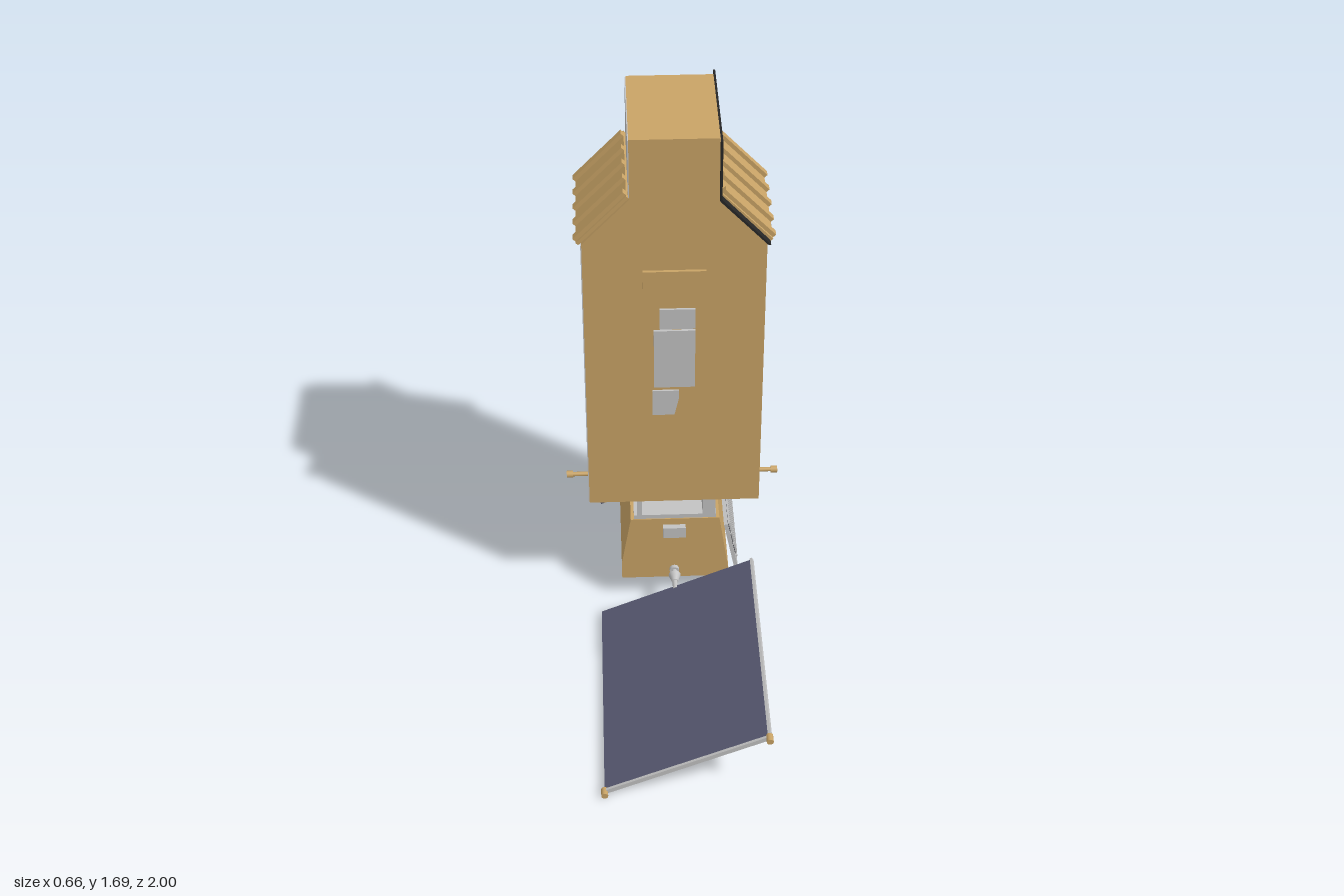
import * as THREE from 'three';

const mat = (name, color, side = THREE.FrontSide) => {
  const m = new THREE.MeshStandardMaterial({ color, side });
  m.name = name;
  return m;
};

export function createModel() {
  const root = new THREE.Group();
  root.name = 'satellite';
  const gold = mat('goldFoil', 0xc8a366);
  const silver = mat('silver', 0xc2c2c2);
  const black = mat('blackShade', 0x262626);
  const blue = mat('solarBlue', 0x565870);
  const dark = mat('darkGap', 0x55555a);

  const add = (name, geo, m, x = 0, y = 0, z = 0, parent = root) => {
    const mesh = new THREE.Mesh(geo, m);
    mesh.name = name;
    mesh.position.set(x, y, z);
    parent.add(mesh);
    return mesh;
  };
  // Box given by its minimum and maximum corners
  const box = (name, m, x0, x1, y0, y1, z0, z1, parent = root) =>
    add(name, new THREE.BoxGeometry(x1 - x0, y1 - y0, z1 - z0), m,
      (x0 + x1) / 2, (y0 + y1) / 2, (z0 + z1) / 2, parent);
  // Outline in x,y extruded between two z values
  const prism = (name, m, pts, z0, z1) => {
    const shape = new THREE.Shape(pts.map(p => new THREE.Vector2(p[0], p[1])));
    const geo = new THREE.ExtrudeGeometry(shape, { depth: z1 - z0, bevelEnabled: false });
    return add(name, geo, m, 0, 0, z0);
  };
  const rod = (name, m, r0, r1, len, axis, x, y, z, parent = root) => {
    const geo = new THREE.CylinderGeometry(r1, r0, len, 16);
    if (axis === 'x') geo.rotateZ(-Math.PI / 2);
    if (axis === 'z') geo.rotateX(Math.PI / 2);
    return add(name, geo, m, x, y, z, parent);
  };

  // Tall foil-wrapped body with shoulders and narrow top
  prism('body', gold, [[-0.26, 0.405], [0.26, 0.405], [0.26, 1.36], [0.125, 1.505],
    [0.125, 1.695], [-0.125, 1.695], [-0.125, 1.505], [-0.26, 1.36]], -0.175, 0.175);

  // Silver radiator faces on one side
  box('sideRadiator', silver, -0.263, -0.2595, 0.41, 1.355, -0.173, 0.173);
  box('topRadiator', silver, -0.128, -0.1245, 1.51, 1.692, -0.173, 0.173);

  // Black sun shade behind the top and shoulder
  prism('sunShade', black, [[0.124, 1.697], [0.124, 1.508], [0.26, 1.362],
    [0.268, 1.362], [0.13, 1.513], [0.13, 1.697]], -0.198, 0.198);

  // Ribbed shoulder covers
  const slopeLen = Math.hypot(0.142, 0.15);
  for (const s of [-1, 1]) {
    const g = new THREE.Group();
    g.name = s > 0 ? 'leftShoulderCover' : 'rightShoulderCover';
    g.position.set(s * 0.2, 1.437, 0);
    g.rotation.z = -s * Math.atan2(0.15, 0.142);
    root.add(g);
    box('coverSheet', gold, -slopeLen / 2, slopeLen / 2, -0.004, 0.006, -0.175, 0.175, g);
    for (let i = -2; i <= 2; i++) {
      const z = i * 0.078;
      box('coverRib', gold, -slopeLen / 2, slopeLen / 2, 0.006, 0.018, z - 0.011, z + 0.011, g);
    }
    for (const z of [-0.09, 0.09]) {
      box('coverClip', dark, s * 0.268 - 0.008, s * 0.268 + 0.008, 1.346, 1.362, z - 0.024, z + 0.024);
      box('clipPin', dark, s * 0.266 - 0.005, s * 0.266 + 0.005, 1.335, 1.35, z - 0.007, z + 0.007);
    }
  }

  // Matching plates on front and back
  for (const s of [-1, 1]) {
    const slab = (name, m, pts, d) => prism(name, m, pts, s > 0 ? 0.174 : -0.175 - d, s > 0 ? 0.175 + d : -0.174);
    const rect = (x0, x1, y0, y1) => [[x0, y0], [x1, y0], [x1, y1], [x0, y1]];
    slab('upperCover', gold, rect(-0.09, 0.09, 1.152, 1.268), 0.009);
    slab('upperPlate', silver, rect(-0.043, 0.06, 1.066, 1.135), 0.007);
    slab('mainPlate', silver, rect(-0.06, 0.06, 0.855, 1.06), 0.008);
    slab('lowerPlate', silver, [[-0.065, 0.75], [0, 0.75], [0.013, 0.81], [0.013, 0.84], [-0.065, 0.84]], 0.006);
  }

  // Tapered lower bus
  prism('bus', gold, [[-0.165, 0.085], [0.172, 0.085], [0.172, 0.11], [0.14, 0.33],
    [-0.135, 0.33], [-0.165, 0.15]], -0.175, 0.175);

  // Open silver frame joining the bus and body
  box('frameBase', silver, -0.125, 0.13, 0.33, 0.345, -0.172, 0.172);
  box('framePlate', silver, 0.088, 0.127, 0.34, 0.406, -0.174, 0.174);
  for (const z of [-0.16, 0.16]) box('framePost', silver, -0.115, -0.1, 0.34, 0.406, z - 0.012, z + 0.012);
  box('rodBracket', silver, -0.113, -0.102, 0.345, 0.395, -0.02, 0.02);

  // Antenna rod through the frame
  rod('antennaRod', gold, 0.007, 0.007, 0.64, 'x', 0, 0.372, 0);
  for (const s of [-1, 1]) rod('antennaTip', gold, 0.011, 0.011, 0.02, 'x', s * 0.322, 0.372, 0);

  // Louvred radiator leaning on the bus
  const louvre = new THREE.Group();
  louvre.name = 'louvreRadiator';
  louvre.position.set(0.182, 0.21, 0);
  louvre.rotation.z = 0.19;
  root.add(louvre);
  box('louvreFrame', silver, -0.01, 0.002, -0.092, 0.092, -0.175, 0.175, louvre);
  box('louvreBack', dark, 0.002, 0.004, -0.045, 0.09, -0.165, 0.165, louvre);
  for (let i = 0; i < 22; i++) {
    const z = -0.1575 + i * 0.015;
    box('louvreSlat', silver, 0.003, 0.009, -0.045, 0.09, z - 0.0045, z + 0.0045, louvre);
  }
  for (const y of [-0.05, 0.0, 0.045, 0.089])
    box('louvreRail', silver, 0.003, 0.008, y - 0.003, y + 0.003, -0.17, 0.17, louvre);

  // Pads under the bus
  box('bottomPad', silver, 0.03, 0.105, 0.077, 0.086, -0.15, -0.045);
  box('bottomPad', silver, -0.08, -0.02, 0.077, 0.086, 0.055, 0.15);

  // Solar wings with hinge, rails and corner tips
  for (const s of [-1, 1]) {
    box('sensorBox', silver, -0.035, 0.035, 0.266, 0.306, s * 0.183 - 0.01, s * 0.183 + 0.01);
    rod('wingAxle', silver, 0.008, 0.008, 0.1, 'z', 0, 0.12, s * 0.218);
    rod('hingeCollar', silver, s > 0 ? 0.019 : 0.01, s > 0 ? 0.01 : 0.019, 0.03, 'z', 0, 0.12, s * 0.22);
    rod('hingeBase', silver, 0.015, 0.015, 0.014, 'z', 0, 0.12, s * 0.18);

    const wing = new THREE.Group();
    wing.name = s > 0 ? 'frontWing' : 'backWing';
    wing.position.set(0.002, 0.12, s * 0.62);
    wing.rotation.z = Math.atan2(0.21, 0.475);
    root.add(wing);
    add('solarPanel', new THREE.BoxGeometry(0.508, 0.01, 0.72), blue, 0, 0, 0, wing);
    add('endRail', new THREE.BoxGeometry(0.508, 0.014, 0.008), silver, 0, 0, s * 0.362, wing);
    add('sideRail', new THREE.BoxGeometry(0.008, 0.014, 0.73), silver, 0.257, 0, 0, wing);
    for (const e of [-1, 1])
      rod('cornerTip', gold, 0.01, 0.01, 0.026, 'z', e * 0.256, 0, s * 0.367, wing);
  }
  return root;
}
